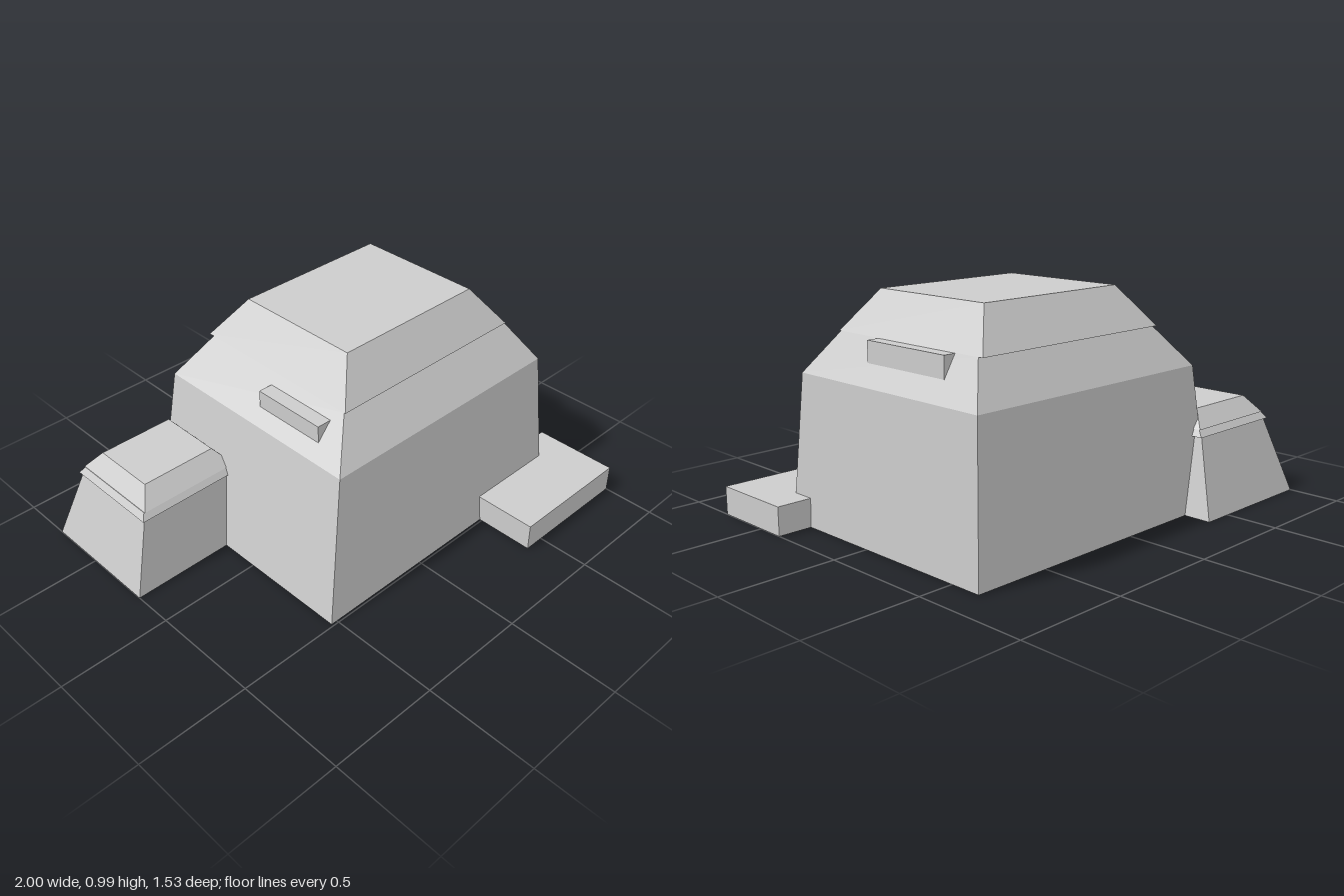
import * as THREE from 'three';

const stone = new THREE.MeshStandardMaterial({ color: 0xcccccc });
stone.name = 'paleGrey';

// Closed solid lofted through rectangles [y, xMin, xMax, zMin, zMax], bottom to top
function loft(name, levels) {
  const pos = [];
  const rings = levels.map(([y, x0, x1, z0, z1]) => [[x0, y, z1], [x1, y, z1], [x1, y, z0], [x0, y, z0]]);
  const quad = (a, b, c, d) => pos.push(...a, ...b, ...c, ...a, ...c, ...d);
  for (let i = 0; i + 1 < rings.length; i++) {
    for (let k = 0; k < 4; k++) {
      const n = (k + 1) % 4;
      quad(rings[i][k], rings[i][n], rings[i + 1][n], rings[i + 1][k]);
    }
  }
  const [a, b, c, d] = rings[0];
  quad(d, c, b, a);
  quad(...rings[rings.length - 1]);
  const geometry = new THREE.BufferGeometry();
  geometry.setAttribute('position', new THREE.Float32BufferAttribute(pos, 3));
  geometry.computeVertexNormals();
  const mesh = new THREE.Mesh(geometry, stone);
  mesh.name = name;
  return mesh;
}

// Box given by its limits on each axis
function block(name, x0, x1, y0, y1, z0, z1) {
  const mesh = new THREE.Mesh(new THREE.BoxGeometry(x1 - x0, y1 - y0, z1 - z0), stone);
  mesh.position.set((x0 + x1) / 2, (y0 + y1) / 2, (z0 + z1) / 2);
  mesh.name = name;
  return mesh;
}

export function createModel() {
  const model = new THREE.Group();
  model.name = 'bunker';

  // Main building: tapering walls, sloped shoulder and overhanging roof
  model.add(
    loft('mainWalls', [
      [0, -0.53, 0.845, -0.64, 0.49],
      [0.645, -0.41, 0.825, -0.62, 0.415],
      [0.82, -0.26, 0.72, -0.515, 0.285],
    ]),
    loft('mainRoof', [
      [0.82, -0.262, 0.722, -0.54, 0.293],
      [0.99, -0.135, 0.6, -0.42, 0.175],
    ]),
  );

  // Ledges on both shoulders
  model.add(
    block('leftLedge', 0.66, 0.775, 0.715, 0.818, -0.395, 0.047),
    block('rightLedge', -0.36, -0.25, 0.69, 0.78, -0.105, 0.243),
  );

  // Small annex at the back right corner
  model.add(
    loft('annexWalls', [
      [0, -1, -0.365, -0.765, -0.18],
      [0.34, -0.9, -0.43, -0.665, -0.225],
    ]),
    loft('annexEaves', [
      [0.34, -0.912, -0.41, -0.678, -0.215],
      [0.37, -0.892, -0.425, -0.655, -0.235],
    ]),
    loft('annexRoof', [
      [0.37, -0.89, -0.42, -0.663, -0.23],
      [0.445, -0.83, -0.48, -0.6, -0.3],
    ]),
  );

  // Low step at the front left corner
  model.add(block('frontStep', 0.405, 1, 0, 0.125, 0.37, 0.763));

  return model;
}
